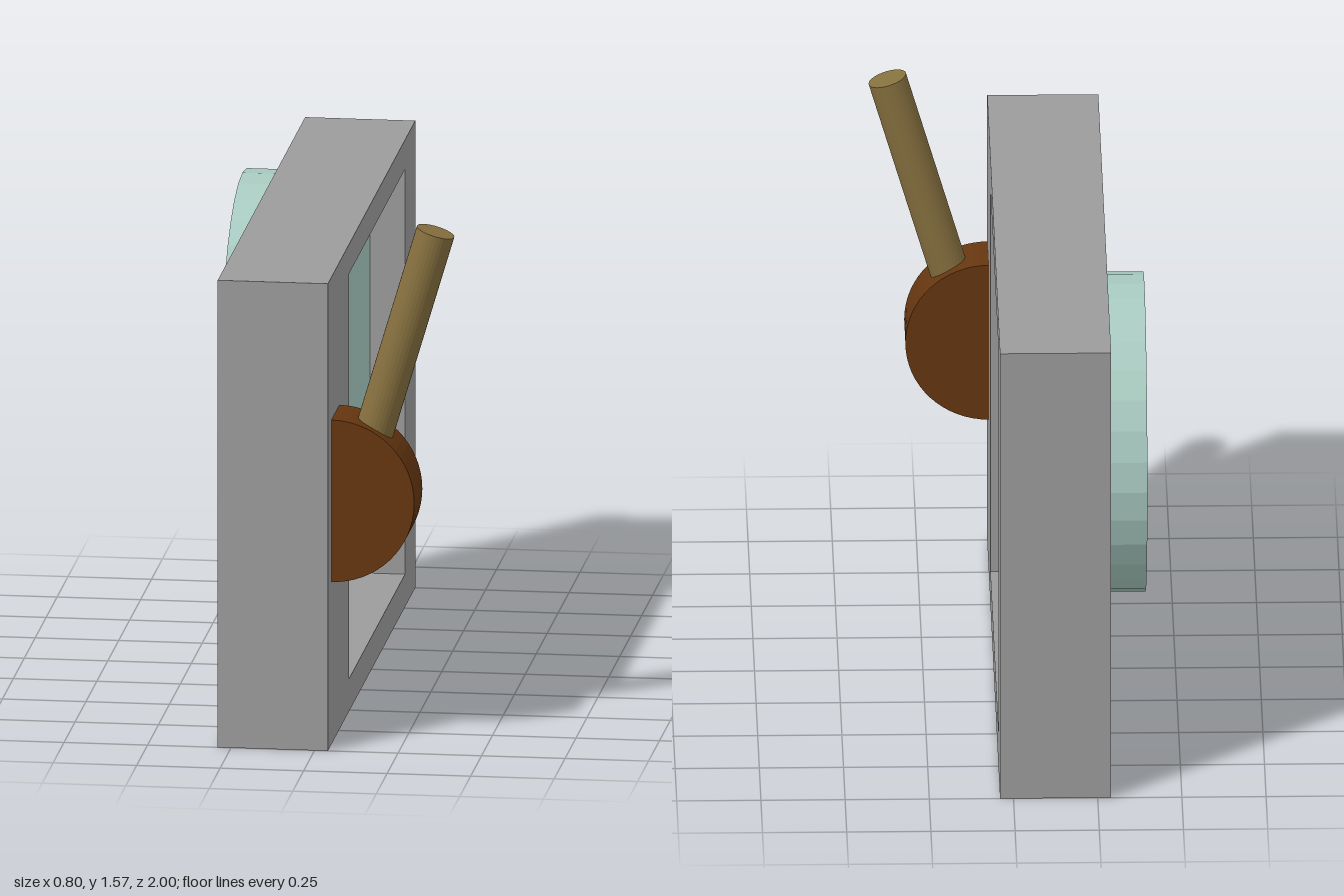
import * as THREE from 'three';

export function createModel() {
  const model = new THREE.Group();

  function add(name, geometry, color, flat = true) {
    const material = new THREE.MeshStandardMaterial({ color, flatShading: flat });
    const mesh = new THREE.Mesh(geometry, material);
    mesh.name = name;
    model.add(mesh);
    return mesh;
  }

  // Extrudes a profile drawn in (-z, y) along x, from x0 to x1
  function extrudeX(shape, x0, x1) {
    const g = new THREE.ExtrudeGeometry(shape, { depth: x1 - x0, bevelEnabled: false });
    return g.rotateY(Math.PI / 2).translate(x0, 0, 0);
  }

  function rectangle(path, left, bottom, right, top) {
    path.moveTo(left, bottom);
    path.lineTo(right, bottom);
    path.lineTo(right, top);
    path.lineTo(left, top);
    path.closePath();
    return path;
  }

  // Gear outline with slightly tapered teeth
  function gearShape(root, outer, teeth, phase) {
    const points = [];
    const step = (Math.PI * 2) / teeth;
    const put = (r, a) => points.push(new THREE.Vector2(r * Math.cos(a), r * Math.sin(a)));
    for (let i = 0; i < teeth; i++) {
      const a = phase + i * step;
      put(root, a - step * 0.25);
      put(outer, a - step * 0.2);
      put(outer, a);
      put(outer, a + step * 0.2);
      put(root, a + step * 0.25);
      put(root, a + step * 0.42);
      put(root, a + step * 0.58);
    }
    return new THREE.Shape(points);
  }

  // Housing: deep frame with a closed back
  const grey = 0x9c9c9c;
  const frame = rectangle(new THREE.Shape(), -1, 0, 1, 1.43);
  frame.holes.push(rectangle(new THREE.Path(), -0.515, 0.1, 0.765, 1.34));
  add('frame', extrudeX(frame, -0.29, 0.04), grey);
  const panel = () => rectangle(new THREE.Shape(), -0.515, 0.1, 0.765, 1.34);
  add('backPanel', extrudeX(panel(), -0.29, -0.195), grey);
  add('recessFloor', extrudeX(panel(), -0.195, -0.19), 0x595959);

  // Large wheel running through the back of the housing
  const wheel = new THREE.CylinderGeometry(0.475, 0.475, 0.335, 32).rotateZ(Math.PI / 2);
  add('wheel', wheel, 0xa8cac0).position.set(-0.2325, 0.93, -0.405);

  // Meshing gears inside the recess
  const deg = Math.PI / 180;
  const largeGear = extrudeX(gearShape(0.23, 0.267, 8, 72 * deg), -0.19, -0.1);
  add('largeGear', largeGear, 0x96ca78).position.set(0, 0.417, 0.393);
  const smallGear = extrudeX(gearShape(0.185, 0.215, 8, 121 * deg), -0.19, -0.1);
  add('smallGear', smallGear, 0xc99bc9).position.set(0, 0.716, 0.067);

  // Half-round lever mount
  const half = new THREE.Shape();
  half.absarc(0, 0, 0.248, -Math.PI / 2, Math.PI / 2, false);
  half.closePath();
  const mount = new THREE.ExtrudeGeometry(half, { depth: 0.185, bevelEnabled: false, curveSegments: 16 });
  add('leverMount', mount, 0x663610).position.set(0.04, 0.745, 0.735);

  // Leaning lever
  const foot = new THREE.Vector3(0.121, 0.82, 0.828);
  const tip = new THREE.Vector3(0.34, 1.557, 0.828);
  const rod = new THREE.CylinderGeometry(0.058, 0.058, foot.distanceTo(tip), 32);
  const lever = add('lever', rod, 0x86703f);
  lever.position.copy(foot).lerp(tip, 0.5);
  lever.quaternion.setFromUnitVectors(new THREE.Vector3(0, 1, 0), tip.clone().sub(foot).normalize());

  return model;
}
